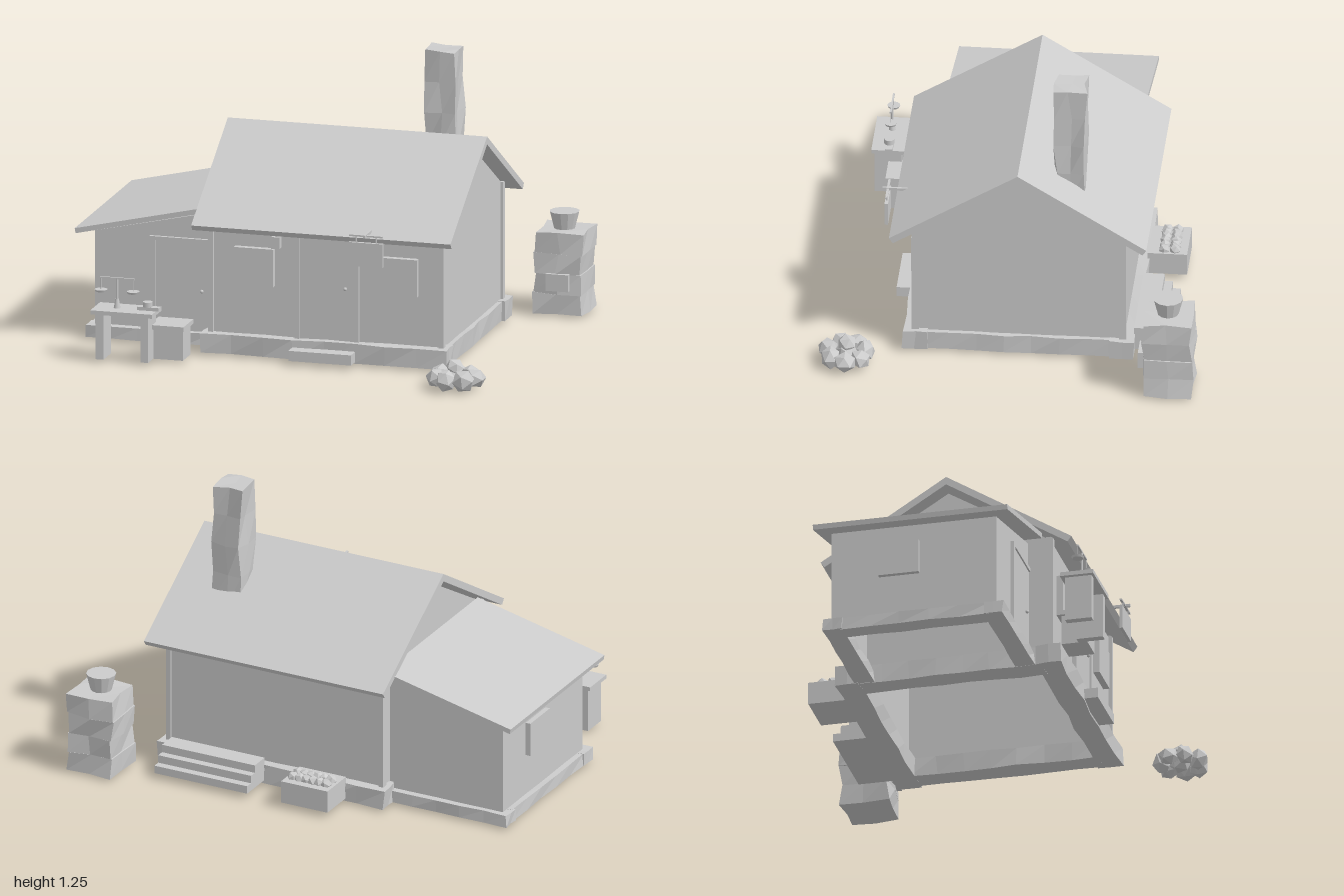
import * as THREE from 'three';

const mat = new THREE.MeshStandardMaterial({ color: 0xcccccc, side: THREE.DoubleSide });
const stoneMat = new THREE.MeshStandardMaterial({ color: 0xcccccc, flatShading: true });

function add(parent, name, geometry, material = mat) {
  const mesh = new THREE.Mesh(geometry, material);
  mesh.name = name;
  parent.add(mesh);
  return mesh;
}

// Box given by its limits on each axis
function box(parent, name, x0, x1, y0, y1, z0, z1) {
  const m = add(parent, name, new THREE.BoxGeometry(x1 - x0, y1 - y0, z1 - z0));
  m.position.set((x0 + x1) / 2, (y0 + y1) / 2, (z0 + z1) / 2);
  return m;
}

// Repeatable noise from a point, so shared corners move together
function noise(x, y, z, k) {
  const s = Math.sin(x * 127.1 + y * 311.7 + z * 74.7 + k * 53.3) * 43758.5453;
  return (s - Math.floor(s)) * 2 - 1;
}

// Rough stone block: a subdivided box with shifted vertices
function stone(parent, name, x0, x1, y0, y1, z0, z1, amount, nx = 2, ny = 1, nz = 2) {
  const g = new THREE.BoxGeometry(x1 - x0, y1 - y0, z1 - z0, nx, ny, nz);
  g.translate((x0 + x1) / 2, (y0 + y1) / 2, (z0 + z1) / 2);
  const p = g.attributes.position;
  for (let i = 0; i < p.count; i++) {
    const c = [p.getX(i), p.getY(i), p.getZ(i)].map(v => Math.round(v * 1000) / 1000);
    const n = k => noise(c[0], c[1], c[2], k) * amount;
    p.setXYZ(i, c[0] + n(1), c[1] + n(2) * 0.4, c[2] + n(3));
  }
  g.computeVertexNormals();
  return add(parent, name, g, stoneMat);
}

// Flat outline extruded along z, or along x (outline then given as z, y)
function prism(points, depth) {
  const shape = new THREE.Shape(points.map(p => new THREE.Vector2(...p)));
  return new THREE.ExtrudeGeometry(shape, { depth, bevelEnabled: false });
}
const prismZ = (pts, z0, z1) => prism(pts, z1 - z0).translate(0, 0, z0);
const prismX = (pts, x0, x1) => prism(pts, x1 - x0).rotateY(-Math.PI / 2).translate(x1, 0, 0);

function group(parent, name) {
  const g = new THREE.Group();
  g.name = name;
  parent.add(g);
  return g;
}

function mainHouse(root) {
  const g = group(root, 'mainHouse');
  // Walls, open underneath
  box(g, 'frontWall', -0.38, 0.655, 0.05, 0.605, 0.39, 0.41);
  box(g, 'backWall', -0.38, 0.655, 0.05, 0.605, -0.49, -0.47);
  const gable = [[-0.49, 0.05], [0.41, 0.05], [0.41, 0.605], [-0.04, 0.875], [-0.49, 0.605]];
  for (const x of [-0.38, 0.635]) add(g, 'gableWall', prismX(gable, x, x + 0.02));
  for (const x of [-0.39, 0.642])
    for (const z of [-0.5, 0.393]) box(g, 'cornerPost', x, x + 0.023, 0.05, 0.615, z, z + 0.031);
  // Pitched roof
  const roof = [[0.517, 0.586], [-0.037, 0.928], [-0.592, 0.586], [-0.575, 0.562], [-0.037, 0.893], [0.5, 0.562]];
  add(g, 'roof', prismX(roof, -0.437, 0.723));
  // Door
  box(g, 'door', 0.02, 0.265, 0.095, 0.565, 0.385, 0.42);
  for (const x of [0, 0.265]) box(g, 'doorPost', x, x + 0.02, 0.09, 0.585, 0.38, 0.43);
  add(g, 'doorKnob', new THREE.SphereGeometry(0.008, 10, 8)).position.set(0.225, 0.33, 0.426);
  box(g, 'doorStep', 0, 0.28, 0.02, 0.065, 0.44, 0.525);
  // Shutters and lantern
  for (const x of [-0.27, 0.372]) box(g, 'window', x, x + 0.177, 0.318, 0.484, 0.4, 0.438);
  box(g, 'lantern', -0.092, -0.055, 0.498, 0.55, 0.44, 0.475);
  box(g, 'lanternArm', -0.078, -0.069, 0.55, 0.558, 0.4, 0.465);
  // Hanging sign board
  box(g, 'signBracket', 0.35, 0.36, 0.602, 0.614, 0.4, 0.578);
  box(g, 'signBoard', 0.282, 0.432, 0.472, 0.577, 0.548, 0.563);
  for (const x of [0.31, 0.4]) box(g, 'signHanger', x, x + 0.005, 0.575, 0.607, 0.553, 0.558);
  box(g, 'signRail', 0.282, 0.432, 0.603, 0.61, 0.55, 0.56);
  // Stone footing ring
  for (const z of [-0.535, 0.355]) stone(g, 'footing', -0.41, 0.685, 0.012, 0.098, z, z + 0.105, 0.006, 8);
  for (const x of [-0.4, 0.57]) stone(g, 'sideFooting', x, x + 0.105, 0.012, 0.095, -0.45, 0.38, 0.006, 2, 1, 7);
  // Chimney of stacked stones
  for (let i = 0; i < 4; i++) {
    const y = 0.7 + i * 0.1375;
    stone(g, 'chimneyStone', 0.403, 0.537, y, y + 0.1375, -0.312, -0.182, 0.012);
  }
}

function annex(root) {
  const g = group(root, 'annex');
  const wall = [[-0.928, 0.03], [-0.38, 0.03], [-0.38, 0.6], [-0.928, 0.478]];
  add(g, 'frontWall', prismZ(wall, 0.29, 0.31));
  add(g, 'backWall', prismZ(wall, -0.42, -0.4));
  box(g, 'sideWall', -0.928, -0.908, 0.03, 0.48, -0.42, 0.31);
  const roof = [[-1, 0.498], [-0.996, 0.476], [-0.385, 0.615], [-0.385, 0.638]];
  add(g, 'leanToRoof', prismZ(roof, -0.485, 0.375));
  // Door with frame
  box(g, 'door', -0.655, -0.39, 0.06, 0.458, 0.27, 0.318);
  box(g, 'doorPost', -0.68, -0.655, 0.06, 0.475, 0.27, 0.325);
  box(g, 'doorLintel', -0.68, -0.39, 0.458, 0.475, 0.27, 0.325);
  add(g, 'doorKnob', new THREE.SphereGeometry(0.008, 10, 8)).position.set(-0.447, 0.245, 0.324);
  box(g, 'sideWindow', -0.95, -0.92, 0.25, 0.402, -0.21, -0.03);
  // Low footing
  for (const z of [-0.45, 0.26]) stone(g, 'footing', -0.96, -0.39, 0.012, 0.066, z, z + 0.085, 0.004, 5);
  stone(g, 'sideFooting', -0.955, -0.87, 0.012, 0.066, -0.38, 0.28, 0.004, 2, 1, 5);
}

function workbench(root) {
  const g = group(root, 'workbench');
  box(g, 'tableTop', -0.83, -0.555, 0.212, 0.23, 0.565, 0.712);
  for (const x of [-0.81, -0.61]) box(g, 'tableLeg', x, x + 0.035, 0.012, 0.212, 0.583, 0.7);
  // Balance scale
  const rod = (name, r0, r1, h, x, y) =>
    add(g, name, new THREE.CylinderGeometry(r0, r1, h, 12)).position.set(x, y, 0.638);
  rod('scaleBase', 0.008, 0.015, 0.04, -0.732, 0.25);
  rod('scalePost', 0.005, 0.005, 0.12, -0.732, 0.3);
  box(g, 'scaleBeam', -0.808, -0.655, 0.357, 0.364, 0.634, 0.642);
  for (const x of [-0.804, -0.66]) {
    rod('scalePan', 0.028, 0.024, 0.009, x, 0.303);
    rod('scaleCord', 0.0015, 0.0015, 0.055, x, 0.332);
  }
  // Small weights
  box(g, 'weightTray', -0.64, -0.542, 0.23, 0.245, 0.62, 0.652);
  rod('weight', 0.022, 0.022, 0.022, -0.595, 0.256);
  // Stool beside the table
  box(g, 'stoolBody', -0.575, -0.443, 0.012, 0.147, 0.508, 0.622);
  box(g, 'stoolTop', -0.59, -0.435, 0.145, 0.165, 0.49, 0.64);
}

function yard(root) {
  // Outdoor oven of four rough layers with a vent pot
  const oven = group(root, 'oven');
  for (let i = 0; i < 4; i++) {
    const y = 0.012 + i * 0.09;
    const m = stone(oven, 'ovenLayer', 0.768, 0.98, y, y + 0.09, -0.808, -0.595, 0.011);
    m.position.x = (i % 2 ? 1 : -1) * 0.003;
  }
  box(oven, 'ovenMouth', 0.825, 0.925, 0.12, 0.195, -0.64, -0.574);
  add(oven, 'ventPot', new THREE.CylinderGeometry(0.065, 0.046, 0.075, 12), stoneMat).position.set(0.873, 0.41, -0.7);

  // Heap of rocks: a ring and one on top
  const heap = group(root, 'rockHeap');
  for (let i = 0; i < 9; i++) {
    const a = (i / 7) * Math.PI * 2, r = i < 7 ? 0.082 : 0;
    const y = i < 7 ? 0.05 : i === 7 ? 0.05 : 0.092;
    const rock = add(heap, 'rock', new THREE.IcosahedronGeometry(0.048 + 0.006 * noise(i, 1, 2, 0), 0), stoneMat);
    rock.position.set(0.797 + Math.cos(a) * r * 1.06, y, 0.692 + Math.sin(a) * r);
    rock.rotation.set(i, i * 1.7, i * 0.6);
    rock.scale.y = 0.85;
  }

  // Crate of small stones behind the house
  const crate = group(root, 'crate');
  box(crate, 'crateBody', -0.225, 0, 0.025, 0.125, -0.7, -0.53);
  for (let i = 0; i < 12; i++) {
    const s = add(crate, 'crateStone', new THREE.IcosahedronGeometry(0.026, 0), stoneMat);
    s.position.set(-0.19 + (i % 6) * 0.032, 0.13, -0.645 + Math.floor(i / 6) * 0.045);
    s.rotation.set(i, i * 2, 0);
  }

  // Stepped stack of planks at the back wall
  const stack = group(root, 'plankStack');
  [-0.69, -0.655, -0.62].forEach((z, i) => {
    const y = 0.025 + i * 0.035;
    box(stack, 'plank', 0.17, 0.62, y, y + 0.035, z, -0.53);
  });
}

export function createModel() {
  const root = new THREE.Group();
  root.name = 'workshopHouse';
  mainHouse(root);
  annex(root);
  workbench(root);
  yard(root);
  return root;
}
